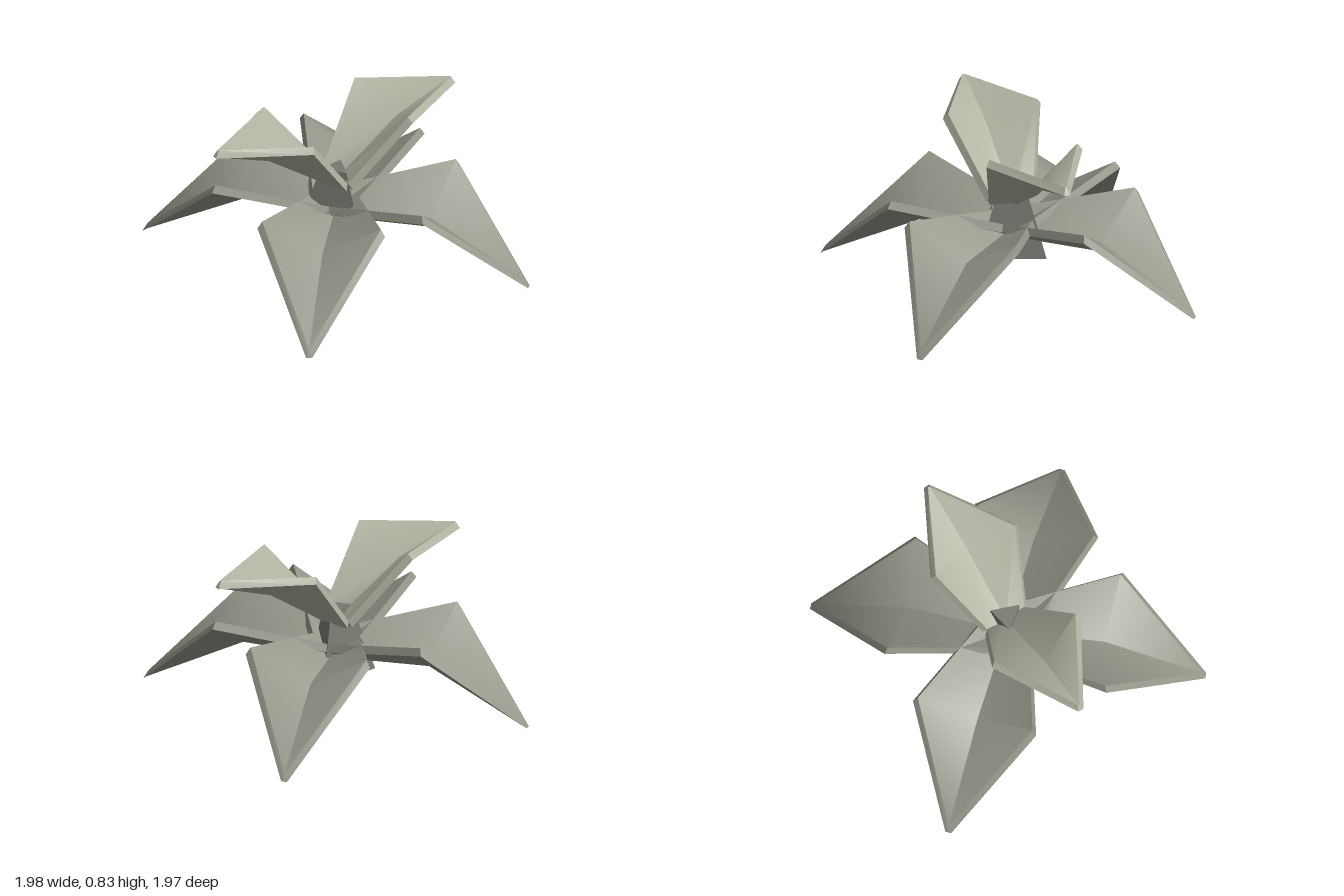
import * as THREE from 'three';
import { toCreasedNormals } from 'three/addons/utils/BufferGeometryUtils.js';

const lowerMaterial = new THREE.MeshStandardMaterial({ color: 0x96978a });
const upperMaterial = new THREE.MeshStandardMaterial({ color: 0xb2b2a2 });
const stemMaterial = new THREE.MeshStandardMaterial({ color: 0x767a70 });

// Folded, thick kite-shaped leaf growing along +x.
// Each section point is [along, height]; half-widths are given for the edges.
function leafGeometry({ baseEdge, baseRib, midEdge, midRib, tip, baseHalf, midHalf, edgeDrop, ribDrop, tipDrop }) {
  const section = (edge, rib, half) => [
    [edge[0], edge[1], -half], [rib[0], rib[1], 0], [edge[0], edge[1], half],
  ];
  const shift = (p, d) => [p[0] + d[0], p[1] + d[1]];
  // points: base left/rib/right 0-2, middle left/rib/right 3-5, blunt tip left/rib/right 6-8
  const top = [
    ...section(baseEdge, baseRib, baseHalf),
    ...section(midEdge, midRib, midHalf),
    ...section(tip, tip, 0.004),
  ];
  const under = [
    ...section(shift(baseEdge, edgeDrop), shift(baseRib, ribDrop), baseHalf + 0.02),
    ...section(shift(midEdge, edgeDrop), shift(midRib, ribDrop), midHalf + 0.022),
    ...section(shift(tip, tipDrop), shift(tip, tipDrop), 0.015),
  ];
  const n = top.length;
  const index = [];
  for (const row of [0, 3]) {
    for (const col of [0, 1]) {
      const a = row + col, b = a + 1, c = a + 4, d = a + 3;
      // keep each quad's diagonal running away from the outer edge
      const pair = col === 0 ? [[a, b, c], [a, c, d]] : [[a, b, c], [a, c, d]];
      for (const [p, q, r] of pair) index.push(p, q, r, p + n, r + n, q + n);
    }
  }
  // rim joining the upper and lower skins
  const rim = [0, 1, 2, 5, 8, 7, 6, 3];
  rim.forEach((a, i) => {
    const b = rim[(i + 1) % rim.length];
    index.push(a, a + n, b + n, a, b + n, b);
  });
  const geometry = new THREE.BufferGeometry();
  geometry.setAttribute('position', new THREE.Float32BufferAttribute([...top, ...under].flat(), 3));
  geometry.setIndex(index);
  return toCreasedNormals(geometry, 0.8);
}

export function createModel() {
  const model = new THREE.Group();

  const addLeaf = (name, geometry, material, dx, dz) => {
    const leaf = new THREE.Mesh(geometry, material);
    leaf.name = name;
    leaf.rotation.y = Math.atan2(-dz, dx);
    model.add(leaf);
  };

  // Four large drooping leaves
  const lower = leafGeometry({
    baseEdge: [0, 0.36], baseRib: [0, 0.29], midEdge: [0.53, 0.49], midRib: [0.49, 0.31], tip: [0.97, 0.04],
    baseHalf: 0.115, midHalf: 0.295, edgeDrop: [0.01, -0.035], ribDrop: [-0.01, -0.05], tipDrop: [0.022, -0.04],
  });
  addLeaf('leftLowerLeaf', lower, lowerMaterial, 0.98, -0.03);
  addLeaf('rightLowerLeaf', lower, lowerMaterial, -0.98, 0.02);
  addLeaf('frontLowerLeaf', lower, lowerMaterial, 0.18, 0.97);
  addLeaf('backLowerLeaf', lower, lowerMaterial, -0.07, -0.98);

  // Two smaller raised leaves
  const upper = leafGeometry({
    baseEdge: [0, 0.48], baseRib: [0, 0.45], midEdge: [0.27, 0.83], midRib: [0.36, 0.7], tip: [0.68, 0.82],
    baseHalf: 0.11, midHalf: 0.235, edgeDrop: [0.015, -0.03], ribDrop: [0.025, -0.03], tipDrop: [0.02, -0.035],
  });
  addLeaf('backUpperLeaf', upper, upperMaterial, 0.43, -0.55);
  addLeaf('frontUpperLeaf', upper, upperMaterial, -0.45, 0.53);

  // Tapered three-sided stem
  const stemGeometry = new THREE.CylinderGeometry(0.08, 0.195, 0.355, 3);
  stemGeometry.rotateY(Math.PI);
  const stem = new THREE.Mesh(toCreasedNormals(stemGeometry, 0.5), stemMaterial);
  stem.name = 'stem';
  stem.position.y = 0.165 + 0.355 / 2;
  model.add(stem);

  return model;
}
